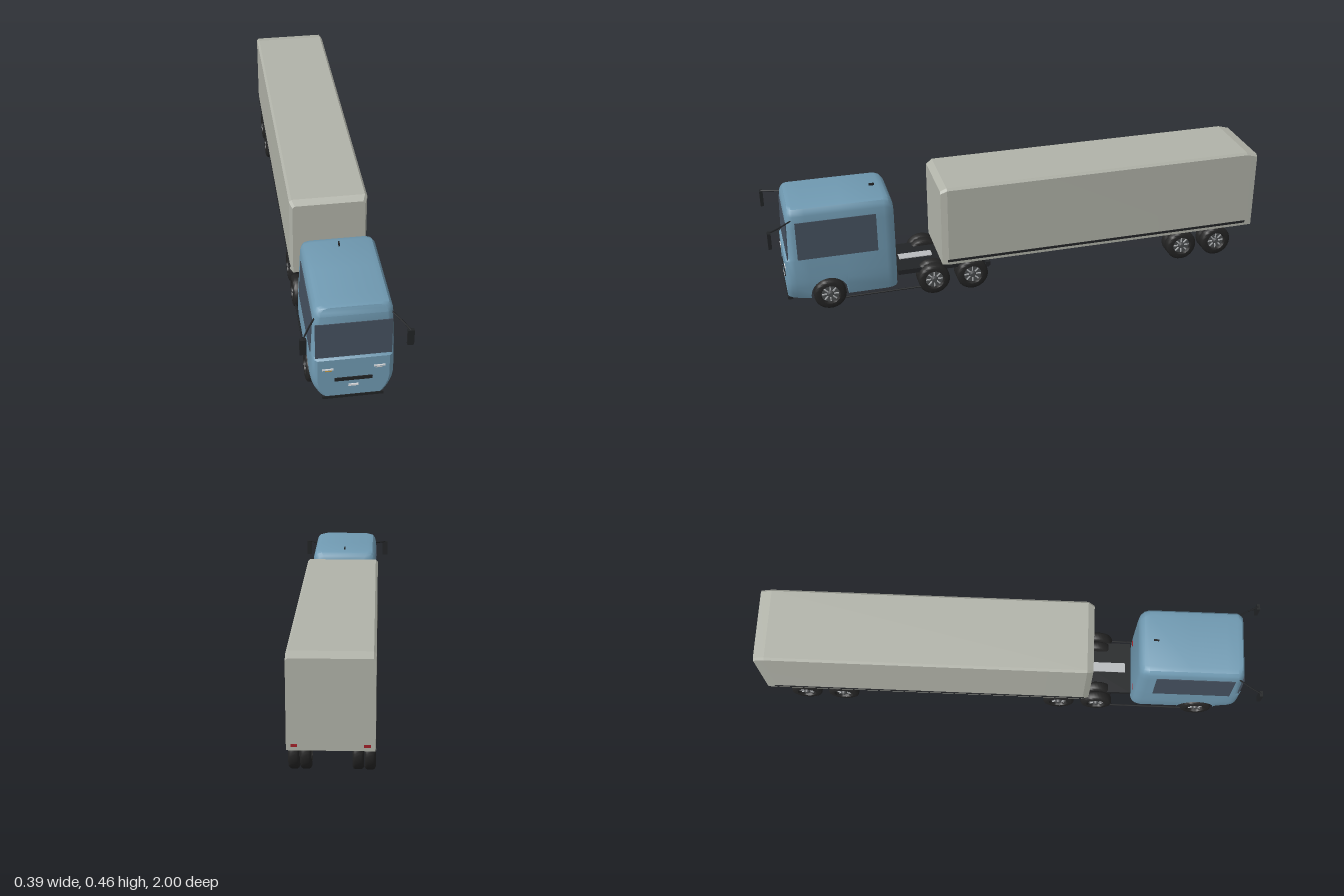
import * as THREE from 'three';
import { toCreasedNormals } from 'three/addons/utils/BufferGeometryUtils.js';

const mat = (color) => new THREE.MeshStandardMaterial({ color });
const BLUE = mat(0x709ab2), BOX = mat(0xb0b2a8), GLASS = mat(0x44505e), DARK = mat(0x222426);
const TYRE = mat(0x242424), RIM = mat(0x4a4c4e), SILVER = mat(0xb8bbbd), WHITE = mat(0xe4e6e8);
const RED = mat(0xa02028), AMBER = mat(0xb08a3a);

const { clamp, lerp, smoothstep } = THREE.MathUtils;

function add(parent, name, geometry, material, x = 0, y = 0, z = 0) {
  const mesh = new THREE.Mesh(geometry, material);
  mesh.name = name;
  mesh.position.set(x, y, z);
  parent.add(mesh);
  return mesh;
}
const box = (parent, name, material, w, h, d, x, y, z) =>
  add(parent, name, new THREE.BoxGeometry(w, h, d), material, x, y, z);

// Loft through mirrored cross-sections, each { z, pts: right half from bottom to top }
function loft(sections, zShift = () => 0, crease = 0.6) {
  const n = sections[0].pts.length, m = 2 * n, pos = [], idx = [];
  for (const { z, pts } of sections) {
    const ring = [...pts, ...pts.map(([x, y]) => [-x, y]).reverse()];
    for (const [x, y] of ring) pos.push(x, y, z + zShift(y, z));
  }
  const quad = (a, b, c, d) => idx.push(a, b, c, a, c, d);
  for (let k = 0; k < sections.length - 1; k++) {
    for (let i = 0; i < m; i++) {
      const j = (i + 1) % m;
      quad(k * m + i, k * m + j, (k + 1) * m + j, (k + 1) * m + i);
    }
  }
  const last = (sections.length - 1) * m;
  for (let i = 0; i < n - 1; i++) {
    const l = m - 1 - i;
    quad(last + i, last + i + 1, last + l - 1, last + l);
    quad(l, l - 1, i + 1, i);
  }
  const g = new THREE.BufferGeometry();
  g.setAttribute('position', new THREE.Float32BufferAttribute(pos, 3));
  g.setIndex(idx);
  return toCreasedNormals(g, crease);
}

// Half width of the cab: leans in towards the roof, tucks under at the lower front
function cabHalfWidth(y, z) {
  const lean = 0.148 - 0.011 * clamp((y - 0.2) / 0.245, 0, 1);
  const low = clamp((0.14 - y) / 0.09, 0, 1);
  return lean - 0.036 * low * low * (0.3 + 0.7 * smoothstep(z, 0.84, 0.94));
}

function cabSection(z, bottom, top, inset) {
  const w = (y) => cabHalfWidth(y, z) - inset;
  const ys = [0, 0.25, 0.5, 0.75].map((t) => lerp(bottom, 0.16, t));
  ys.push(0.16, 0.228, 0.237, 0.37, top - 0.03);
  return { z, pts: [...ys.map((y) => [w(y), y]),
    [w(top) - 0.003, top - 0.016], [w(top) - 0.012, top - 0.005], [w(top) - 0.03, top]] };
}

function makeCab() {
  const cab = new THREE.Group();
  cab.name = 'cab';
  const base = 0.055, axleZ = 0.78, axleY = 0.0665, r = 0.073;
  const s = [[0.51, 0.405, 0.03], [0.517, 0.425, 0.014], [0.53, 0.438, 0.005], [0.55, 0.444, 0]]
    .map(([z, top, inset]) => cabSection(z, base, top, inset));
  // wheel arch cut through the floor
  s.push(cabSection(axleZ - r, base, 0.445, 0));
  for (let i = 0; i <= 16; i++) {
    const a = Math.PI * (1 - i / 16);
    s.push(cabSection(axleZ + r * Math.cos(a), axleY + r * Math.sin(a), 0.445, 0));
  }
  s.push(cabSection(axleZ + r, base, 0.445, 0));
  for (const [z, inset] of [[0.905, 0], [0.922, 0.004], [0.933, 0.01], [0.94, 0.02]])
    s.push(cabSection(z, base, 0.445, inset));
  // upper front steps back and slopes into the roof
  const shift = (y, z) => y < 0.23 ? 0 :
    -(0.01 + 0.03 * (y - 0.237) + Math.max(0, y - 0.41) * 0.3) * smoothstep(z, 0.88, 0.94);
  add(cab, 'cabBody', loft(s, shift), BLUE);

  const screen = box(cab, 'windscreen', GLASS, 0.27, 0.15, 0.004, 0, 0.309, 0.928);
  screen.rotation.x = -0.03;
  box(cab, 'grille', DARK, 0.136, 0.015, 0.006, 0, 0.135, 0.94);
  box(cab, 'numberPlate', WHITE, 0.036, 0.009, 0.004, 0, 0.104, 0.941);
  box(cab, 'bumper', DARK, 0.22, 0.012, 0.02, 0, 0.051, 0.932);
  box(cab, 'roofAerial', DARK, 0.005, 0.01, 0.02, 0, 0.448, 0.575);

  for (const side of [-1, 1]) {
    const win = box(cab, 'sideWindow', GLASS, 0.004, 0.155, 0.31, side * 0.1435, 0.312, 0.738);
    win.rotation.z = side * 0.045;
    box(cab, 'headlight', WHITE, 0.04, 0.006, 0.005, side * 0.092, 0.186, 0.94);
    box(cab, 'indicator', side < 0 ? AMBER : SILVER, 0.024, 0.003, 0.004, side * 0.089, 0.178, 0.94);
    box(cab, 'rearMarker', RED, 0.022, 0.008, 0.004, side * 0.095, 0.15, 0.51);
    // mirror on a bent arm
    const arm = new THREE.CatmullRomCurve3([
      new THREE.Vector3(side * 0.134, 0.4, 0.905),
      new THREE.Vector3(side * 0.162, 0.392, 0.95),
      new THREE.Vector3(side * 0.184, 0.386, 0.992)]);
    add(cab, 'mirrorArm', new THREE.TubeGeometry(arm, 8, 0.003, 6), DARK);
    box(cab, 'mirror', DARK, 0.023, 0.065, 0.013, side * 0.184, 0.355, 0.992);
  }
  return cab;
}

function makeTrailer() {
  const trailer = new THREE.Group();
  trailer.name = 'trailer';
  const section = ([z, w, top]) => ({ z, pts: [[w, 0.128], [w, top - 0.009], [w - 0.009, top]] });
  add(trailer, 'trailerBody', loft([[-1, 0.149, 0.45], [-0.955, 0.15, 0.462],
    [0.305, 0.15, 0.462], [0.33, 0.14, 0.447]].map(section), undefined, 0.15), BOX);
  for (const side of [-1, 1]) {
    box(trailer, 'sideRail', DARK, 0.004, 0.01, 1.28, side * 0.15, 0.145, -0.33);
    box(trailer, 'tailLight', RED, 0.022, 0.01, 0.004, side * 0.122, 0.145, -0.9985);
  }
  return trailer;
}

function makeChassis() {
  const chassis = new THREE.Group();
  chassis.name = 'chassis';
  box(chassis, 'frame', DARK, 0.216, 0.02, 0.37, 0, 0.097, 0.318);
  box(chassis, 'couplingPlate', SILVER, 0.04, 0.004, 0.135, 0, 0.108, 0.415);
  box(chassis, 'rearCrossbar', DARK, 0.26, 0.016, 0.018, 0, 0.097, 0.14);
  for (const side of [-1, 1]) {
    const rod = add(chassis, 'sideRod', new THREE.CylinderGeometry(0.0035, 0.0035, 0.33, 8),
      DARK, side * 0.142, 0.041, 0.555);
    rod.rotation.x = Math.PI / 2;
    box(chassis, 'rearLamp', DARK, 0.02, 0.014, 0.012, side * 0.06, 0.055, 0.127);
  }
  return chassis;
}

// Wheel along +x, outer face at x = 0, with one or two tyres
function makeWheel(dual) {
  const wheel = new THREE.Group();
  wheel.name = 'wheel';
  const R = 0.0635, w = 0.039;
  const profile = [[0.036, 0.006], [0.039, 0], [0.054, 0], [0.06, 0.003], [R, 0.009], [R, w - 0.009],
    [0.06, w - 0.003], [0.054, w], [0.039, w], [0.036, w - 0.006], [0.036, 0.006]]
    .map(([r, a]) => new THREE.Vector2(r, a - w));
  const tyre = toCreasedNormals(new THREE.LatheGeometry(profile, 32), 0.6);
  tyre.rotateZ(-Math.PI / 2);
  const turned = (r1, r2, len) => new THREE.CylinderGeometry(r1, r2, len, 24).rotateZ(-Math.PI / 2);
  for (let i = 0; i < (dual ? 2 : 1); i++) {
    const x = -i * 0.041;
    add(wheel, 'tyre', tyre, TYRE, x);
    add(wheel, 'rimDisc', turned(0.037, 0.037, 0.012), RIM, x - 0.018);
  }
  for (let i = 0; i < 8; i++) {
    const spoke = new THREE.BoxGeometry(0.004, 0.019, 0.005).translate(0, 0.024, 0);
    add(wheel, 'spoke', spoke, SILVER, -0.011).rotation.x = (i * Math.PI) / 4;
  }
  add(wheel, 'hub', turned(0.009, 0.014, 0.014), RIM, -0.006);
  add(wheel, 'innerHub', turned(0.022, 0.022, 0.004), SILVER, dual ? -0.067 : -0.026);
  return wheel;
}

export function createModel() {
  const truck = new THREE.Group();
  truck.name = 'articulatedTruck';
  truck.add(makeCab(), makeTrailer(), makeChassis());
  for (const z of [0.78, 0.365, 0.208, -0.694, -0.849]) {
    const front = z > 0.5;
    for (const side of [-1, 1]) {
      const wheel = makeWheel(!front);
      wheel.position.set(side * (front ? 0.153 : 0.15), 0.0655, z);
      if (side < 0) wheel.rotation.y = Math.PI;
      truck.add(wheel);
    }
  }
  return truck;
}
